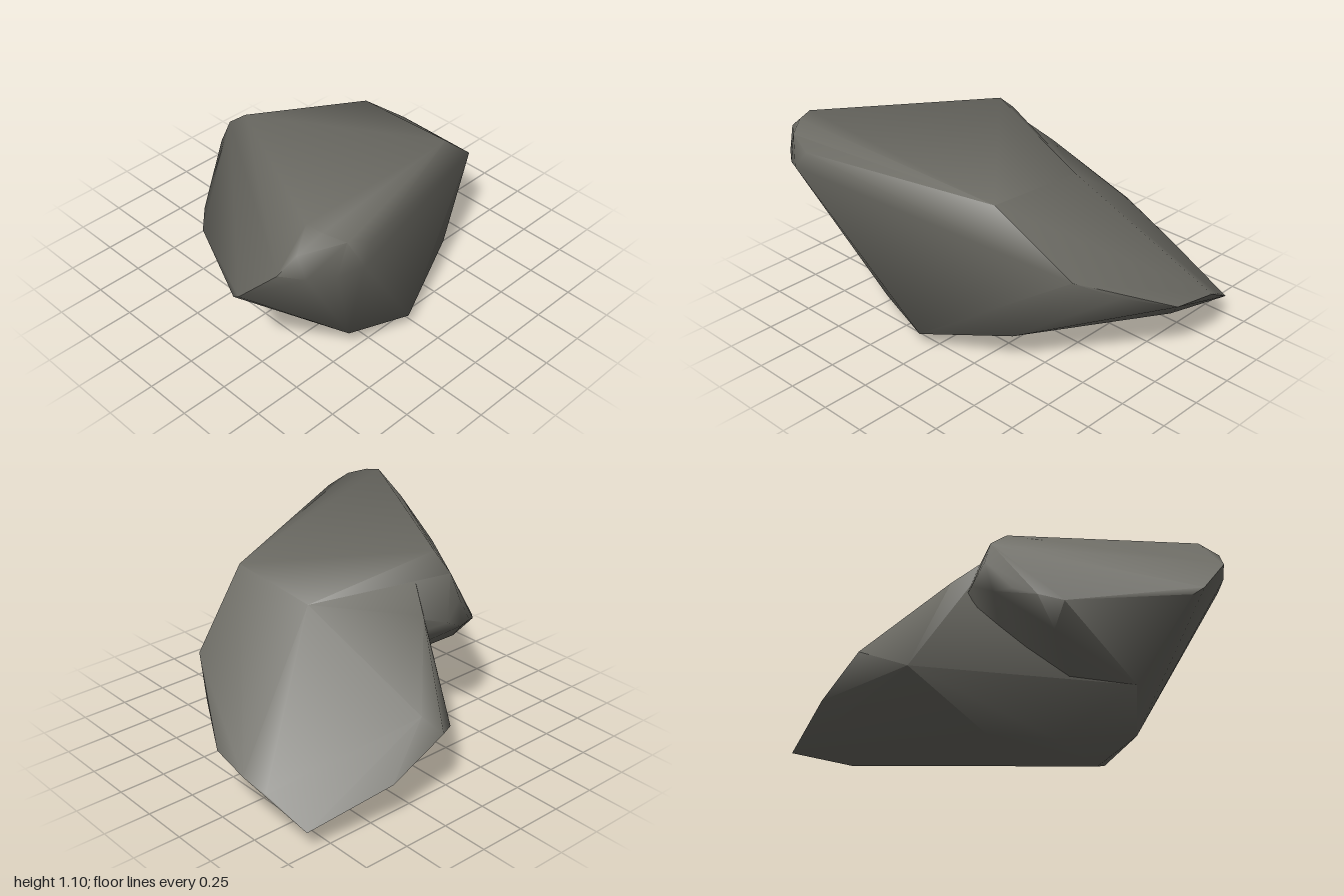
import * as THREE from 'three';
import { ConvexGeometry } from 'three/addons/geometries/ConvexGeometry.js';
import { toCreasedNormals } from 'three/addons/utils/BufferGeometryUtils.js';

const stone = new THREE.MeshStandardMaterial({ color: 0x6c6b64 });
stone.name = 'grey stone';

// A worn block of stone: the hull of its corners, shaded softly
function boulder(name, corners) {
  const points = corners.map((c) => new THREE.Vector3(...c));
  const mesh = new THREE.Mesh(toCreasedNormals(new ConvexGeometry(points), 1.25), stone);
  mesh.name = name;
  return mesh;
}

// Corners where the two blocks meet
const shared = [
  [0.44, 0.90, -0.34], [0.30, 0.57, -0.71], [-0.12, 0.87, -0.35],
  [0.59, 0.08, 0.05], [0.50, 0.12, 0.39], [0.42, 0, 0.18], [0.30, 0.27, 0.61],
  [0.40, 0.19, -0.42],
];

export function createModel() {
  const group = new THREE.Group();
  group.name = 'rock';

  group.add(boulder('lowerRock', [
    ...shared,
    // left shoulder, rising into the upper block
    [-0.74, 0.45, -0.17], [-0.84, 0.38, -0.12], [-0.84, 0.23, -0.44], [-0.69, 0.28, 0.08],
    [-0.46, 0.79, 0.10], [-0.26, 0.98, 0.20],
    // back end
    [-0.74, 0.11, -0.88], [-0.54, 0.25, -0.955], [-0.43, 0.31, -1.0], [-0.19, 0.33, -0.97],
    [0.08, 0.44, -0.83],
    // underside
    [-0.47, 0.06, -0.73], [-0.74, 0.14, -0.55], [-0.20, 0.06, 0.06], [0.10, 0.05, 0.24],
  ]));

  group.add(boulder('upperRock', [
    ...shared,
    // top ridge and rounded right corner
    [-0.29, 1.02, 0.33], [0.62, 1.10, 0.78], [0.70, 1.085, 0.76], [0.79, 1.05, 0.70],
    [0.815, 1.0, 0.58], [0.84, 0.91, 0.64], [0.78, 0.88, 0.75], [0.70, 0.88, 0.86],
    [0.61, 0.90, 0.95], [0.66, 1.0, 0.88],
    // nose
    [0.40, 0.68, 1.0], [0.34, 0.63, 0.98],
    // rounded left edge
    [-0.40, 0.93, 0.34], [-0.45, 0.80, 0.36], [-0.46, 0.70, 0.27], [-0.43, 0.63, 0.40],
    [-0.39, 0.62, 0.50], [-0.32, 0.57, 0.60], [-0.23, 0.53, 0.69], [-0.20, 0.43, 0.58],
  ]));
  return group;
}
